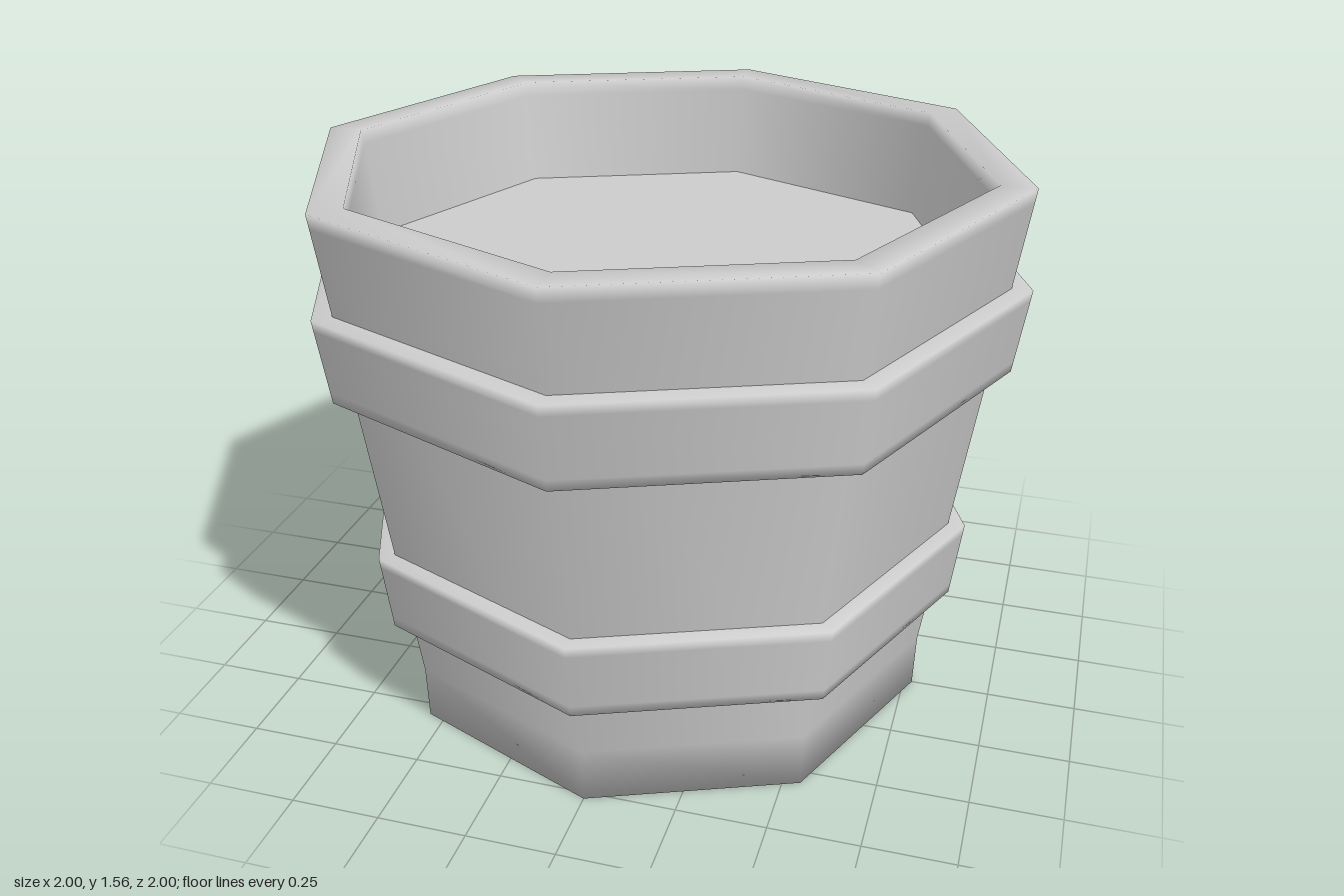
import * as THREE from 'three';

const SIDES = 8;

export function createModel() {
  const group = new THREE.Group();
  group.name = 'tub';
  const material = new THREE.MeshStandardMaterial({ color: 0xcccccc });

  const add = (name, geometry) => {
    const mesh = new THREE.Mesh(geometry, material);
    mesh.name = name;
    group.add(mesh);
    return mesh;
  };

  // Eight-sided, smooth-shaded ring or vessel from [radius, height] pairs
  const turn = (name, profile) =>
    add(name, new THREE.LatheGeometry(profile.map(([r, y]) => new THREE.Vector2(r, y)), SIDES));

  // Tapered wall: base, outside, flat rim, then down the inside
  turn('body', [
    [0, 0], [0.775, 0], [0.78, 0.16],
    [0.979, 1.52], [0.985, 1.56], [0.89, 1.56], [0.885, 1.52], [0.85, 1.26],
  ]);

  // Hoops with flat top and bottom ledges, sunk slightly into the wall;
  // the extra loops keep the smooth shading tight to the edges
  const hoop = (name, y0, r0, y1, r1) => {
    const slope = (r1 - r0) / (y1 - y0), e = 0.03;
    turn(name, [
      [r0 - 0.08, y0], [r0, y0], [r0 + slope * e, y0 + e],
      [r1 - slope * e, y1 - e], [r1, y1], [r1 - 0.08, y1],
    ]);
  };
  hoop('lowerHoop', 0.335, 0.857, 0.56, 0.885);
  hoop('upperHoop', 1.05, 0.965, 1.285, 1.0);

  // Flat surface filling the inside
  const filling = add('filling', new THREE.CircleGeometry(0.85, SIDES));
  filling.rotation.x = -Math.PI / 2;
  filling.position.y = 1.26;

  return group;
}
